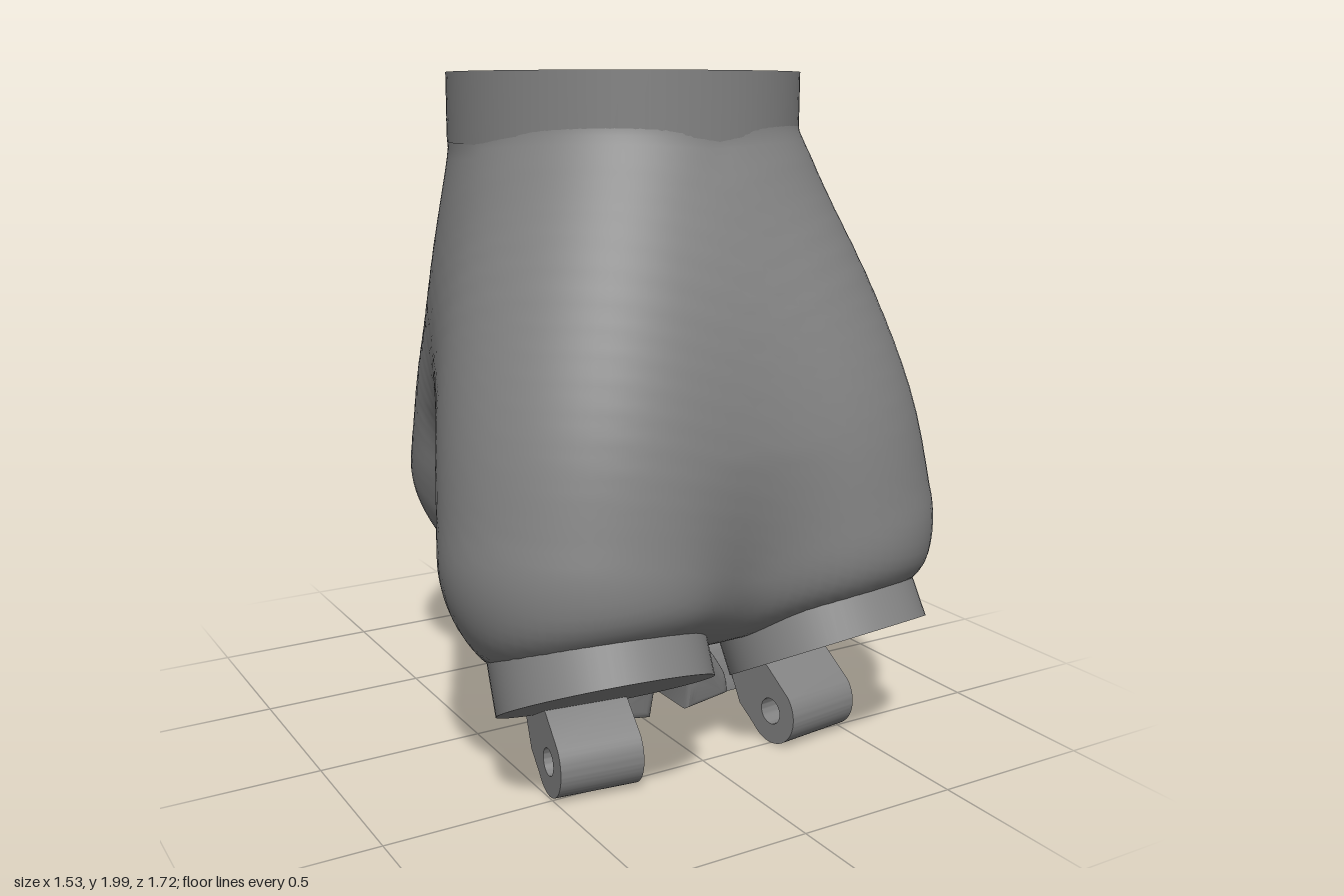
import * as THREE from 'three';
import { mergeVertices, toCreasedNormals } from 'three/addons/utils/BufferGeometryUtils.js';

const grey = new THREE.MeshStandardMaterial({ color: 0x828282 });
const V = (x, y, z) => new THREE.Vector3(x, y, z);
const { lerp, clamp, smoothstep } = THREE.MathUtils;
const TILT = 0.5;

// One lobe: a smooth spine of centre + radius, the tilted axis of its socket, and its extra width in x
function makeLobe(heading, widen, points) {
  const path = new THREE.CatmullRomCurve3(points.map(([x, y, z]) => V(x, y, z)), false, 'catmullrom');
  const radius = new THREE.CatmullRomCurve3(points.map((p) => V(p[3], 0, 0)), false, 'catmullrom');
  const spine = [];
  for (let i = 0; i <= 24; i++) spine.push({ c: path.getPoint(i / 24), r: radius.getPoint(i / 24).x });
  const out = V(Math.sin(heading), 0, Math.cos(heading));
  const axis = V(0, -Math.cos(TILT), 0).addScaledVector(out, Math.sin(TILT));
  return { widen, spine, out, axis, end: spine[24].c };
}
const frontLobe = (s) => makeLobe(s * 0.12, 0, [
  [0, 2.1, 0.025, 0.512], [0, 1.78, 0.025, 0.512], [s * 0.08, 1.5, 0.13, 0.5],
  [s * 0.2, 1.2, 0.27, 0.475], [s * 0.29, 0.95, 0.375, 0.445], [s * 0.35, 0.7, 0.437, 0.417]]);
const lobes = [frontLobe(1), frontLobe(-1), makeLobe(Math.PI, 0.16, [
  [0, 2.1, 0.025, 0.512], [0, 1.78, 0.025, 0.512], [0, 1.5, -0.045, 0.503],
  [0, 1.2, -0.185, 0.47], [0, 0.95, -0.32, 0.445], [0, 0.7, -0.43, 0.43]])];

// Distance to a lobe, with a softly rounded flat cut where its flange sits
const q = V(), d1 = V(), d2 = V();
function lobeDistance(p, { widen, spine, axis, end }) {
  const w = 1 + widen * smoothstep(1.9 - p.y, 0, 0.9) * (1 - 0.7 * smoothstep(0.8 - p.y, 0, 0.4));
  q.set(p.x / w, p.y, p.z);
  let d = Infinity;
  for (let i = 0; i < spine.length - 1; i++) {
    const a = spine[i], b = spine[i + 1];
    d1.subVectors(b.c, a.c);
    d2.subVectors(q, a.c);
    const t = clamp(d2.dot(d1) / d1.lengthSq(), 0, 1);
    d = Math.min(d, d2.addScaledVector(d1, -t).length() - lerp(a.r, b.r, t));
  }
  const cut = d2.subVectors(p, end).dot(axis) - 0.31;
  const h = Math.max(0.08 - Math.abs(d - cut), 0) / 0.08;
  return Math.max(d, cut) + h * h * 0.02;
}

// Three lobes blended softly, less so toward the neck
function bodyDistance(p) {
  const k = 0.25 * clamp((1.8 - p.y) / 0.8, 0.001, 1);
  const d = lobes.map((l) => lobeDistance(p, l)).reduce((a, b) => {
    const h = Math.max(k - Math.abs(a - b), 0) / k;
    return Math.min(a, b) - h * h * k / 4;
  });
  return Math.max(d, p.y - 1.9);
}

// Body skin: push each sphere vertex out to the blended surface
function bodyGeometry() {
  let geo = new THREE.SphereGeometry(1, 144, 110);
  geo.deleteAttribute('uv');
  geo.deleteAttribute('normal');
  geo = mergeVertices(geo, 1e-4);
  const pos = geo.attributes.position, origin = V(0, 1.15, 0.025), dir = V(), p = V();
  for (let i = 0; i < pos.count; i++) {
    dir.fromBufferAttribute(pos, i).normalize();
    let lo = 0, hi = 1.4;
    for (let n = 0; n < 18; n++) {
      const mid = (lo + hi) / 2;
      if (bodyDistance(p.copy(origin).addScaledVector(dir, mid)) < 0) lo = mid;
      else hi = mid;
    }
    p.copy(origin).addScaledVector(dir, lo);
    pos.setXYZ(i, p.x, p.y, p.z);
  }
  return toCreasedNormals(geo, 0.9);
}

// Hinge lug: rounded eye with a pin hole, foot running inward to the flange
function lugGeometry() {
  const s = new THREE.Shape();
  s.absarc(0, 0, 0.1, 0.75, 0.75 - Math.PI, true);
  s.lineTo(-0.14, -0.02);
  s.lineTo(-0.2, 0.1);
  s.lineTo(-0.14, 0.18);
  s.lineTo(-0.02, 0.14);
  s.closePath();
  const hole = new THREE.Path();
  hole.absarc(0, 0, 0.04, 0, Math.PI * 2);
  s.holes.push(hole);
  const g = new THREE.ExtrudeGeometry(s, { depth: 0.25, bevelEnabled: false, curveSegments: 24 });
  g.translate(0, 0, -0.125);
  g.rotateY(-Math.PI / 2);
  return toCreasedNormals(g, 0.5);
}

// Arch-shaped wall with a rounded notch in its foot, leaning inward toward the bottom
function webGeometry(outline, from, to, footScale) {
  const s = new THREE.Shape();
  s.moveTo(0.09, 0.115);
  s.lineTo(outline[0][0], outline[0][1]);
  s.splineThru(outline.slice(1).map(([x, y]) => new THREE.Vector2(x, y)));
  s.lineTo(-0.09, 0.115);
  s.lineTo(-0.09, 0.17);
  s.quadraticCurveTo(-0.09, 0.225, 0, 0.225);
  s.quadraticCurveTo(0.09, 0.225, 0.09, 0.17);
  s.closePath();
  const g = new THREE.ExtrudeGeometry(s, {
    depth: to - from - 0.06, bevelSize: 0.03, bevelThickness: 0.03, bevelSegments: 6, curveSegments: 16 });
  g.translate(0, 0, from + 0.03);
  const pos = g.attributes.position;
  for (let i = 0; i < pos.count; i++) {
    const t = clamp((pos.getY(i) - 0.08) / 0.47, 0, 1);
    pos.setZ(i, pos.getZ(i) * lerp(footScale, 1, t));
  }
  return toCreasedNormals(g, 0.8);
}

export function createModel() {
  const group = new THREE.Group();
  const add = (name, geo, parent = group) => {
    const m = new THREE.Mesh(geo, grey);
    m.name = name;
    parent.add(m);
    return m;
  };

  add('body', bodyGeometry());
  add('neck', new THREE.CylinderGeometry(0.52, 0.52, 0.2, 96)).position.set(0, 1.9, 0.025);

  // Flange discs closing each lobe
  const flange = new THREE.CylinderGeometry(0.304, 0.304, 0.18, 64);
  for (const { axis, out, end } of lobes) {
    const m = add('flange', flange);
    m.position.copy(end).addScaledVector(axis, 0.335).addScaledVector(out, -0.05);
    m.position.x *= 1.03;
    m.quaternion.setFromUnitVectors(V(0, -1, 0), axis);
  }

  // Hinge lugs below the flanges; the rear one sits slightly askew
  const lug = lugGeometry();
  for (const [x, y, z, turn, roll] of [[0.37, 0.11, 0.48, 0.12, 0], [-0.37, 0.11, 0.48, -0.12, 0],
    [0.05, 0.12, -0.5, Math.PI + 0.18, -0.08]]) {
    const m = add('hingeLug', lug);
    m.position.set(x, y, z);
    m.rotation.set(0, turn, roll);
  }

  // Central hub: a core with one notched wall in each gap between lobes
  const hub = new THREE.Group();
  hub.name = 'hub';
  group.add(hub);
  add('hubCore', new THREE.CylinderGeometry(0.28, 0.2, 0.5, 48), hub).position.set(0, 0.47, 0);
  for (const s of [1, -1]) {
    const outline = [[0.25, 0.12], [0.24, 0.26], [0.17, 0.38], [0.11, 0.5], [0.06, 0.53],
      [0, 0.5], [-0.1, 0.38], [-0.18, 0.3], [-0.25, 0.26], [-0.28, 0.14]].map(([x, y]) => [x * s, y]);
    const shape = s > 0 ? outline : outline.reverse();
    add('sideWall', webGeometry(shape, 0.14, 0.42, 0.65), hub).rotation.y = s * Math.PI / 2;
  }
  add('frontWall', webGeometry([[0.18, 0.13], [0.16, 0.18], [0.08, 0.28], [0, 0.31],
    [-0.08, 0.28], [-0.16, 0.18], [-0.18, 0.13]], 0.14, 0.42, 0.75), hub);

  return group;
}
